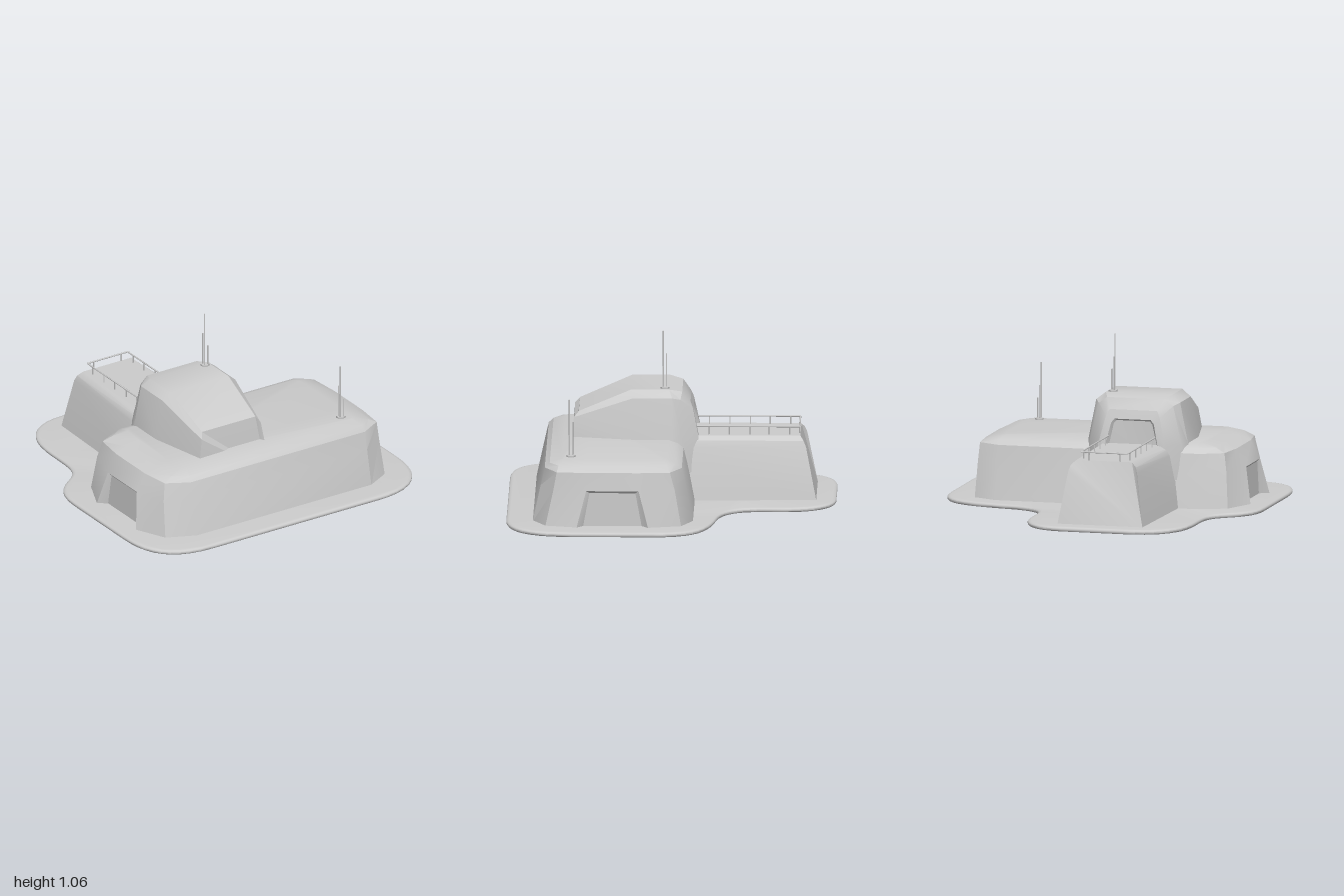
import * as THREE from 'three';
import { toCreasedNormals } from 'three/addons/utils/BufferGeometryUtils.js';

const material = new THREE.MeshStandardMaterial({ color: 0xcccccc, side: THREE.DoubleSide });
const CX = -0.215; // centre line of tower and rear wing

// Skin a list of cross-sections with equal point counts; skip(level, column) leaves a gap.
function loft(rings, { closed = false, capStart = false, capEnd = false, skip = () => false } = {}) {
  const pos = [];
  const tri = (...p) => p.forEach((q) => pos.push(...q));
  const n = rings[0].length;
  for (let l = 0; l < rings.length - 1; l++) {
    for (let i = 0; i < (closed ? n : n - 1); i++) {
      if (skip(l, i)) continue;
      const j = (i + 1) % n;
      tri(rings[l][i], rings[l][j], rings[l + 1][j]);
      tri(rings[l][i], rings[l + 1][j], rings[l + 1][i]);
    }
  }
  const fan = (r) => { for (let i = 1; i < r.length - 1; i++) tri(r[0], r[i], r[i + 1]); };
  if (capStart) fan([...rings[0]].reverse());
  if (capEnd) fan(rings[rings.length - 1]);
  const g = new THREE.BufferGeometry();
  g.setAttribute('position', new THREE.Float32BufferAttribute(pos, 3));
  return toCreasedNormals(g, 0.5);
}

// Arch-like section from half points [halfWidth, y, z], mirrored about the centre line.
const arch = (half) => [
  ...half.map(([w, y, z]) => [CX - w, y, z]),
  ...[...half].reverse().map(([w, y, z]) => [CX + w, y, z]),
];

export function createModel() {
  const model = new THREE.Group();
  const add = (name, geometry, parent = model) => {
    const mesh = new THREE.Mesh(geometry, material);
    mesh.name = name;
    parent.add(mesh);
    return mesh;
  };
  const rod = (name, a, b, r, parent, sides = 6) => {
    const p = new THREE.Vector3(...a), q = new THREE.Vector3(...b);
    const m = add(name, new THREE.CylinderGeometry(r, r, p.distanceTo(q), sides), parent);
    m.position.copy(p).lerp(q, 0.5);
    m.quaternion.setFromUnitVectors(new THREE.Vector3(0, 1, 0), q.sub(p).normalize());
  };

  // Ground slab with rounded lobes and a softened rim (shape y is -z)
  const s = new THREE.Shape();
  s.moveTo(-0.4, 1);
  s.lineTo(0.0, 1);
  s.bezierCurveTo(0.18, 1, 0.28, 0.86, 0.28, 0.68);
  s.lineTo(0.28, 0.52);
  s.bezierCurveTo(0.29, 0.36, 0.4, 0.3, 0.55, 0.28);
  s.bezierCurveTo(0.82, 0.24, 1, 0.18, 1, -0.1);
  s.lineTo(1, -0.6);
  s.bezierCurveTo(1, -0.85, 0.88, -1, 0.6, -1);
  s.lineTo(-0.6, -1);
  s.bezierCurveTo(-0.9, -1, -1, -0.85, -1, -0.6);
  s.lineTo(-1, -0.05);
  s.bezierCurveTo(-1, 0.18, -0.87, 0.21, -0.8, 0.28);
  s.bezierCurveTo(-0.74, 0.34, -0.74, 0.42, -0.74, 0.6);
  s.bezierCurveTo(-0.74, 0.85, -0.64, 1, -0.4, 1);
  const slab = new THREE.ExtrudeGeometry(s, {
    depth: 0.01, bevelThickness: 0.01, bevelSize: 0.02, bevelOffset: -0.02, bevelSegments: 2, curveSegments: 10,
  });
  slab.rotateX(-Math.PI / 2).translate(0, 0.01, 0);
  add('groundSlab', toCreasedNormals(slab, 0.7));

  // Main hall: twelve-sided rings [y, xL, xLmid, xL2, xR2, xRmid, xR, zFront, zFmid, zFend, zBend, zBmid, zBack]
  const hall = [
    [0.02, -0.89, -0.8, -0.62, 0.65, 0.8, 0.85, 0.84, 0.76, 0.57, 0.13, -0.07, -0.14],
    [0.25, -0.845, -0.78, -0.62, 0.65, 0.79, 0.817, 0.79, 0.71, 0.51, 0.19, -0.03, -0.095],
    [0.36, -0.785, -0.76, -0.62, 0.65, 0.785, 0.802, 0.765, 0.69, 0.51, 0.19, 0, -0.07],
    [0.39, -0.71, -0.7, -0.61, 0.65, 0.73, 0.74, 0.735, 0.68, 0.51, 0.19, 0.02, -0.035],
    [0.412, -0.62, -0.61, -0.58, 0.62, 0.64, 0.65, 0.66, 0.65, 0.51, 0.19, 0.05, 0.02],
  ].map(([y, l, lm, l2, r2, rm, r, f, fm, fe, be, bm, b]) => [
    [l, y, fe], [lm, y, fm], [l2, y, f], [r2, y, f], [rm, y, fm], [r, y, fe],
    [r, y, be], [rm, y, bm], [r2, y, b], [l2, y, b], [lm, y, bm], [l, y, be],
  ]);
  add('mainHall', loft(hall, { closed: true, capEnd: true, skip: (l, i) => l === 0 && (i === 5 || i === 11) }));

  // Recessed end doors with upright leaf, slanted jambs and lintel
  for (const [name, x, a, b] of [['rightEndDoor', 0.803, 5, 6], ['leftEndDoor', -0.832, 11, 0]]) {
    const outer = [hall[0][a], hall[1][a], hall[1][b], hall[0][b]];
    const dir = Math.sign(hall[0][b][2] - hall[0][a][2]) * 0.02;
    const inner = [[0.02, 2], [0.235, 1], [0.235, -1], [0.02, -2]].map(([y, k], i) => [x, y, outer[i][2] + k * dir]);
    add(name, loft([outer, inner], { capEnd: true }));
  }

  // Rear wing
  add('rearWing', loft([
    arch([[0.295, 0.02, 0], [0.24, 0.35, 0], [0.222, 0.39, 0], [0.185, 0.412, 0]]),
    arch([[0.27, 0.02, -0.88], [0.217, 0.35, -0.815], [0.205, 0.385, -0.8], [0.175, 0.412, -0.78]]),
  ], { capEnd: true }));

  // Tower: raked front, wide middle, tapered back
  const tower = [
    [[0.245, 0.2, 0.61], [0.235, 0.41, 0.61], [0.215, 0.53, 0.6], [0.195, 0.565, 0.57]],
    [[0.34, 0.2, 0.24], [0.315, 0.41, 0.24], [0.265, 0.66, 0.24], [0.21, 0.703, 0.25]],
    [[0.34, 0.2, 0], [0.315, 0.41, 0], [0.265, 0.66, 0], [0.21, 0.703, 0.02]],
    [[0.315, 0.2, -0.06], [0.29, 0.41, -0.06], [0.235, 0.645, -0.05], [0.18, 0.685, -0.06]],
    [[0.23, 0.2, -0.15], [0.21, 0.41, -0.16], [0.17, 0.58, -0.125], [0.15, 0.62, -0.11]],
  ].map(arch);
  add('tower', loft(tower, { capStart: true }));

  // Tower back wall with recessed doorway onto the wing roof
  add('towerDoorway', loft([
    tower[4],
    arch([[0.17, 0.2, -0.155], [0.165, 0.41, -0.16], [0.135, 0.54, -0.133], [0.115, 0.565, -0.128]]),
    arch([[0.155, 0.2, -0.12], [0.15, 0.41, -0.12], [0.122, 0.535, -0.118], [0.105, 0.555, -0.116]]),
  ], { capEnd: true }));

  // Roof railing around the wing on three sides
  const railing = new THREE.Group();
  railing.name = 'roofRailing';
  model.add(railing);
  const xs = [CX - 0.147, CX + 0.147], top = 0.462, end = -0.775;
  for (const x of xs) {
    rod('sideRail', [x, top, -0.15], [x, top, end], 0.005, railing);
    for (const z of [-0.22, -0.345, -0.47, -0.59, -0.715]) rod('railPost', [x, 0.39, z], [x, top, z], 0.004, railing);
  }
  rod('endRail', [xs[0], top, end], [xs[1], top, end], 0.005, railing);
  for (const x of [CX - 0.1, CX + 0.1]) rod('railPost', [x, 0.4, end], [x, top, end], 0.004, railing);

  // Antenna clusters: hexagonal foot and three rods [dx, dz, height]
  const antenna = (name, x, y, z, rods) => {
    const g = new THREE.Group();
    g.name = name;
    g.position.set(x, y, z);
    model.add(g);
    rod('antennaFoot', [0, -0.005, 0], [0, 0.01, 0], 0.028, g);
    for (const [dx, dz, h] of rods) rod('antennaRod', [dx, 0, dz], [dx, h, dz], 0.004, g);
  };
  antenna('towerAntenna', -0.043, 0.703, 0.045, [[-0.01, 0.011, 0.357], [-0.01, -0.009, 0.217], [0.012, 0.012, 0.137]]);
  antenna('hallAntenna', 0.578, 0.412, 0.607, [[-0.01, 0.01, 0.353], [-0.01, -0.01, 0.215], [0.012, 0.012, 0.133]]);

  return model;
}
